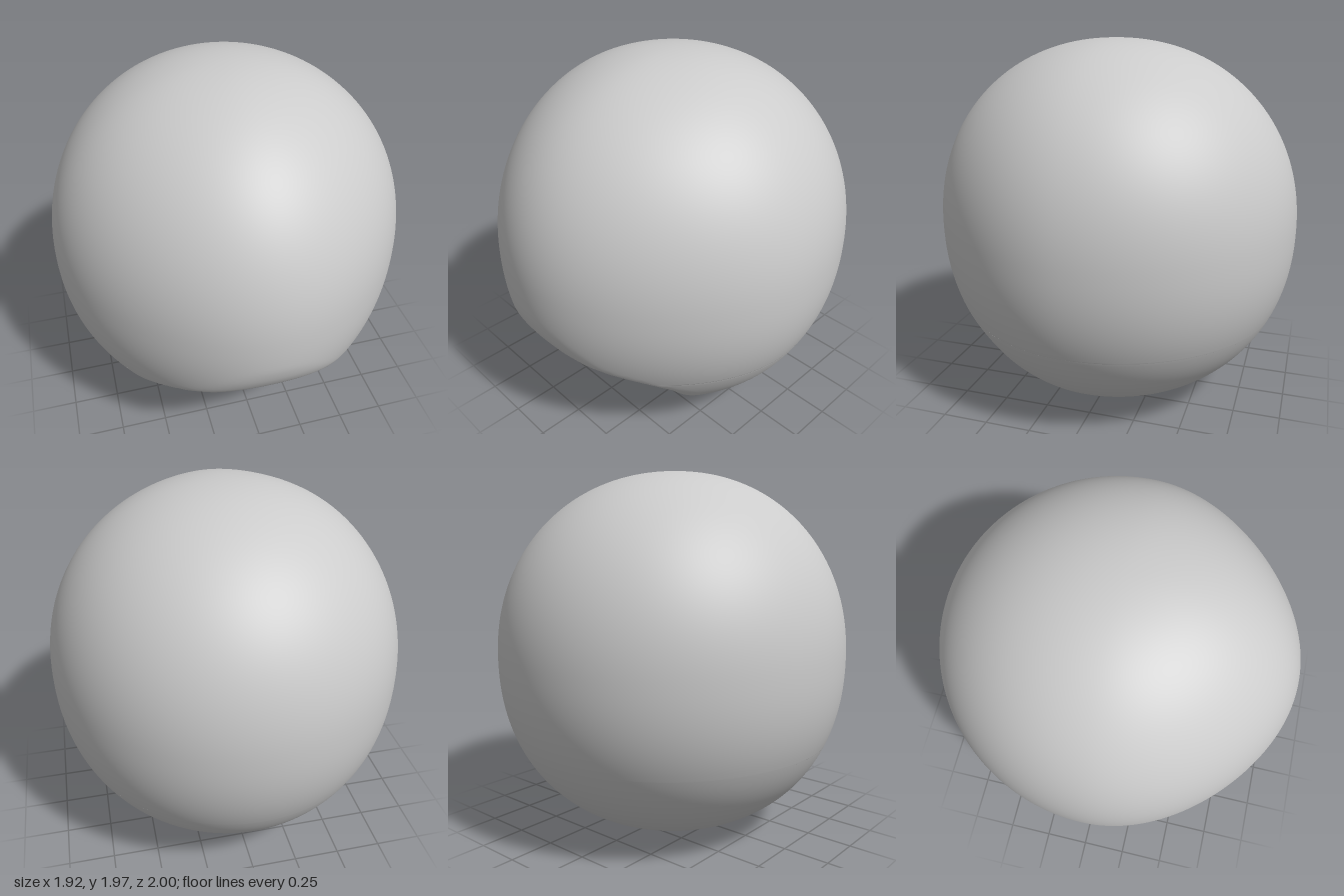
import * as THREE from 'three';
import { mergeVertices } from 'three/addons/utils/BufferGeometryUtils.js';

const MID = 0.987, COLS = 180, ROWS = 110;
const SLOT_TOP = 0.52, SLOT_BOTTOM = 0.012, STEP = 0.0002;

// Piecewise smooth lookup through a few [y, value] points, y ascending
function profile(points) {
  return (y) => {
    if (y <= points[0][0]) return points[0][1];
    for (let i = 1; i < points.length; i++) {
      const [y0, a] = points[i - 1], [y1, b] = points[i];
      if (y <= y1) {
        const slope = (j) => {
          const p = points[Math.max(j - 1, 0)], q = points[Math.min(j + 1, points.length - 1)];
          return (q[1] - p[1]) / (q[0] - p[0]);
        };
        const h = y1 - y0, t = (y - y0) / h, t2 = t * t, t3 = t2 * t;
        return (2 * t3 - 3 * t2 + 1) * a + (t3 - 2 * t2 + t) * h * slope(i - 1)
          + (3 * t2 - 2 * t3) * b + (t3 - t2) * h * slope(i);
      }
    }
    return points[points.length - 1][1];
  };
}

// Half width of the slot, z limit of the hollow, and z of the slot's back panel
const slotWidth = profile([[0.012, 0.015], [0.025, 0.042], [0.05, 0.05], [0.1, 0.04], [0.2, 0.031], [0.28, 0.034], [0.4, 0.062], [0.52, 0.092]]);
const hollow = profile([[0, 0.29], [0.08, 0.335], [0.2, 0.39], [0.3, 0.455], [0.4, 0.54], [0.5, 0.68], [0.55, 0.78], [0.6, 0.885], [0.7, 0.975], [0.85, 1.1], [1, 1.4]]);
const panelDepth = profile([[0.012, 0.16], [0.05, 0.235], [0.1, 0.255], [0.25, 0.2], [0.52, 0.08]]);

const inSlot = (y) => y >= SLOT_BOTTOM - 1e-6 && y <= SLOT_TOP + 1e-6;

// Smooth minimum, rounding the rim of the hollow
function softMin(a, b, k) {
  const h = Math.max(k - Math.abs(a - b), 0) / k;
  return Math.min(a, b) - h * h * k * 0.25;
}

// One horizontal ring, opened at the front where the slot runs
function ring(y) {
  const v = Math.min(Math.abs(y - MID) / MID, 1), p = y < MID ? 2.2 : 2.1;
  const r = Math.pow(Math.max(1 - Math.pow(v, p), 0), 1 / p);
  const w = inSlot(y) ? slotWidth(y) : 0;
  const start = w ? Math.asin(Math.min(w / (0.816 * r), 1)) : 0;
  const points = [];
  for (let i = 0; i <= COLS; i++) {
    const a = start + (2 * Math.PI - 2 * start) * i / COLS;
    const c = Math.cos(a), front = Math.max(c, 0);
    let x = 0.96 * r * Math.sin(a) * (1 - 0.15 * front * front);
    let z = r * c;
    if (i === 0) x = w;
    if (i === COLS) x = -w;
    if (z > 0) {
      z = softMin(z, hollow(y), 0.08 * Math.min(1, z / 0.2));
      // Lips roll inward beside the slot
      const amount = THREE.MathUtils.smoothstep(y, 0.03, 0.15) * (1 - THREE.MathUtils.smoothstep(y, 0.42, 0.54));
      z -= 0.06 * amount * Math.exp(-Math.pow((Math.abs(x) - w) / 0.07, 2));
    }
    points.push(new THREE.Vector3(x, y, z));
  }
  return points;
}

// Skin a list of rows of equal length
function skin(rows, weld = false) {
  const n = rows[0].length, index = [];
  for (let j = 0; j < rows.length - 1; j++) {
    for (let i = 0; i < n - 1; i++) {
      const a = j * n + i, b = a + n;
      index.push(a, a + 1, b, b, a + 1, b + 1);
    }
  }
  let geometry = new THREE.BufferGeometry().setFromPoints(rows.flat());
  geometry.setIndex(index);
  if (weld) geometry = mergeVertices(geometry, 1e-5);
  geometry.computeVertexNormals();
  return geometry;
}

export function createModel() {
  const group = new THREE.Group();
  const material = new THREE.MeshStandardMaterial({ color: 0xcccccc });
  const thin = new THREE.MeshStandardMaterial({ color: 0xcccccc, side: THREE.DoubleSide });
  const add = (name, geometry, mat) => {
    const mesh = new THREE.Mesh(geometry, mat);
    mesh.name = name;
    group.add(mesh);
  };

  // Ring heights, with doubled rings at both ends of the slot
  const heights = [SLOT_TOP, SLOT_TOP + STEP, SLOT_BOTTOM, SLOT_BOTTOM - STEP, 0.025, 0.05, 0.08];
  for (let i = 0; i <= ROWS; i++) heights.push(MID - MID * Math.cos(Math.PI * i / ROWS));
  heights.sort((a, b) => b - a);
  const rings = heights.map(ring);

  // Rounded body with the hollow in its lower front
  add('body', skin(rings.map((r) => r.slice().reverse()), true), material);

  // Slot: back panel, side walls and roof
  const slot = rings.filter((r) => inSlot(r[0].y));
  const back = (p) => new THREE.Vector3(p.x, p.y, panelDepth(p.y));
  add('slotPanel', skin(slot.map((r) => [back(r[0]), back(r[COLS])])), thin);
  add('leftSlotWall', skin(slot.map((r) => [r[0], back(r[0])])), thin);
  add('rightSlotWall', skin(slot.map((r) => [back(r[COLS]), r[COLS]])), thin);
  const ends = [slot[0][0], slot[0][COLS]];
  // The roof reaches forward to the ring just above the slot
  const above = rings[rings.indexOf(slot[0]) - 1];
  const lip = [ends[0], above[0], ends[1]];
  add('slotRoof', skin([lip, [back(ends[0]), new THREE.Vector3(0, SLOT_TOP, panelDepth(SLOT_TOP)), back(ends[1])]]), thin);

  return group;
}
